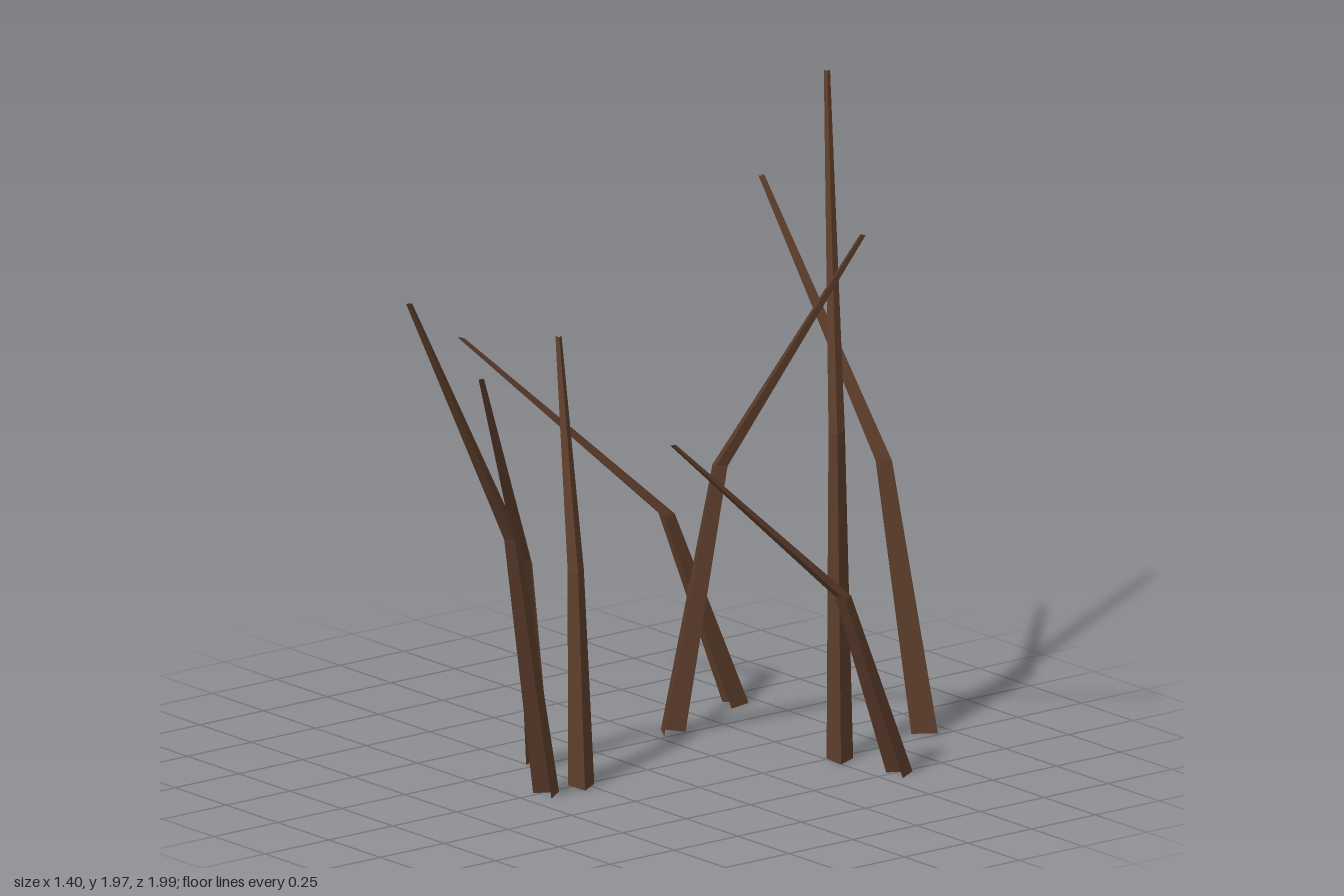
import * as THREE from 'three';

// Each blade: base x, z, then tip x, height, z
const BLADES = [
  [-0.405, -0.665, -0.69, 1.25, 0.178],
  [0.52, -0.573, 0.517, 1.2, 0.315],
  [-0.283, -0.316, 0.69, 1.8, -0.286],
  [0.286, -0.525, -0.35, 1.97, -0.985],
  [0.197, -0.927, -0.33, 1.69, -0.712],
  [0.02, 0.272, -0.355, 1.31, 0.063],
  [-0.257, 0.21, -0.042, 1.34, 0.615],
  [0.023, 0.41, 0.067, 1.67, 0.988],
];
const BASE_RADIUS = 0.047;
const TIP_RADIUS = 0.011;

// Open V-shaped blade: three level sections, bent at half height, hollow side towards the lean
function bladeGeometry([bx, bz, tx, height, tz]) {
  const lean = Math.atan2(tx - bx, tz - bz);
  const rows = [0, 0.5, 1].map((t) => {
    const radius = THREE.MathUtils.lerp(BASE_RADIUS, TIP_RADIUS, t);
    const x = bx + (tx - bx) * t * t;
    const z = bz + (tz - bz) * t * t;
    // side edge, back ridge, side edge
    return [1, 3, 5].map((k) => {
      const a = lean + (k * Math.PI) / 3;
      return [x + radius * Math.sin(a), height * t, z + radius * Math.cos(a)];
    });
  });

  const positions = [];
  for (let r = 0; r < 2; r++) {
    for (let s = 0; s < 2; s++) {
      const a = rows[r][s], b = rows[r][s + 1];
      const c = rows[r + 1][s + 1], d = rows[r + 1][s];
      positions.push(...a, ...b, ...c, ...a, ...c, ...d);
    }
  }
  const geometry = new THREE.BufferGeometry();
  geometry.setAttribute('position', new THREE.Float32BufferAttribute(positions, 3));
  geometry.computeVertexNormals();
  return geometry;
}

export function createModel() {
  const group = new THREE.Group();
  group.name = 'dryGrassTuft';

  const brown = new THREE.MeshStandardMaterial({
    color: 0x5c3d2b,
    side: THREE.DoubleSide,
    flatShading: true,
  });
  brown.name = 'dry brown';

  BLADES.forEach((blade, i) => {
    const mesh = new THREE.Mesh(bladeGeometry(blade), brown);
    mesh.name = `grassBlade${i + 1}`;
    group.add(mesh);
  });
  return group;
}
